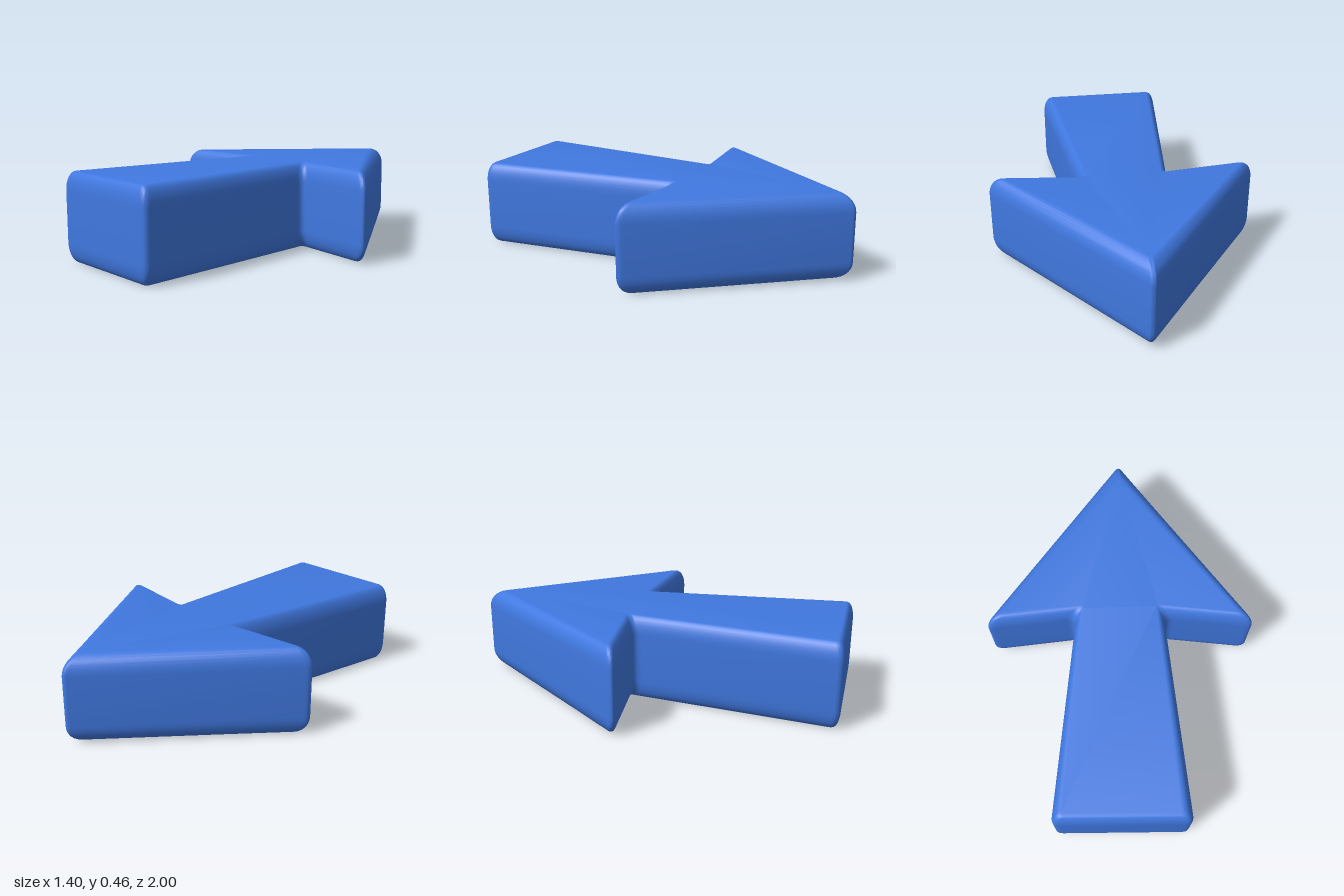
import * as THREE from 'three';
import { toCreasedNormals } from 'three/addons/utils/BufferGeometryUtils.js';

const HEIGHT = 0.46, ROUND = 0.1, STEPS = 8, FILLET = 8;

// Right half of the arrow outline: widest corner, cap corner, corner fillet
const HALF = [
  { wide: [0, -1.012], cap: [0, -0.88], cut: 0.03 }, // point
  { wide: [0.725, -0.03], cap: [0.63, -0.08], cut: 0.063 }, // barb
  { wide: [0.235, -0.085], cap: [0.19, -0.13], cut: 0.05 }, // notch
  { wide: [0.352, 1.0], cap: [0.3, 0.962], cut: 0.04 }, // shaft end
];
const mirrored = HALF.slice(1).reverse().map(({ wide, cap, cut }) => (
  { wide: [-wide[0], wide[1]], cap: [-cap[0], cap[1]], cut }));
const CORNERS = [...HALF, ...mirrored];

// Outline between widest (s = 0) and cap (s = 1), with softened corners
function outline(s) {
  const pts = CORNERS.map(({ wide, cap }) =>
    new THREE.Vector2(...wide).lerp(new THREE.Vector2(...cap), s));
  const n = pts.length;
  return pts.flatMap((p, i) => {
    const cut = CORNERS[i].cut * (1 - 0.6 * s);
    const toward = (q) => q.clone().sub(p).setLength(cut).add(p);
    const a = toward(pts[(i + n - 1) % n]), b = toward(pts[(i + 1) % n]);
    return new THREE.QuadraticBezierCurve(a, p, b).getPoints(FILLET);
  });
}

function arrowGeometry() {
  // Levels from bottom cap to top cap, following a quarter-ellipse rounding
  const levels = [];
  for (let k = 0; k <= STEPS; k++) {
    const a = (k / STEPS) * Math.PI / 2;
    levels.push({ y: ROUND * (1 - Math.cos(a)), s: 1 - Math.sin(a) });
  }
  for (let k = STEPS; k >= 0; k--) levels.push({ y: HEIGHT - levels[k].y, s: levels[k].s });

  const positions = [], index = [];
  const loops = levels.map(({ s }) => outline(s));
  loops.forEach((loop, j) => loop.forEach((p) => positions.push(p.x, levels[j].y, p.y)));

  // Walls
  const n = loops[0].length;
  for (let j = 0; j < loops.length - 1; j++) {
    for (let i = 0; i < n; i++) {
      const a = j * n + i, b = j * n + (i + 1) % n;
      index.push(a, a + n, b, b, a + n, b + n);
    }
  }

  // Flat top and bottom
  const cap = loops[0], top = (loops.length - 1) * n;
  for (const [a, b, c] of THREE.ShapeUtils.triangulateShape(cap.slice(), [])) {
    const facesDown = cap[b].clone().sub(cap[a]).cross(cap[c].clone().sub(cap[a])) > 0;
    const [u, v] = facesDown ? [b, c] : [c, b];
    index.push(a, u, v, top + a, top + v, top + u);
  }

  const geometry = new THREE.BufferGeometry();
  geometry.setAttribute('position', new THREE.Float32BufferAttribute(positions, 3));
  geometry.setIndex(index);
  return toCreasedNormals(geometry, 0.8);
}

export function createModel() {
  const group = new THREE.Group();
  group.name = 'arrowModel';
  const arrow = new THREE.Mesh(arrowGeometry(), new THREE.MeshStandardMaterial({ color: 0x4078e0 }));
  arrow.name = 'arrow';
  group.add(arrow);
  return group;
}
